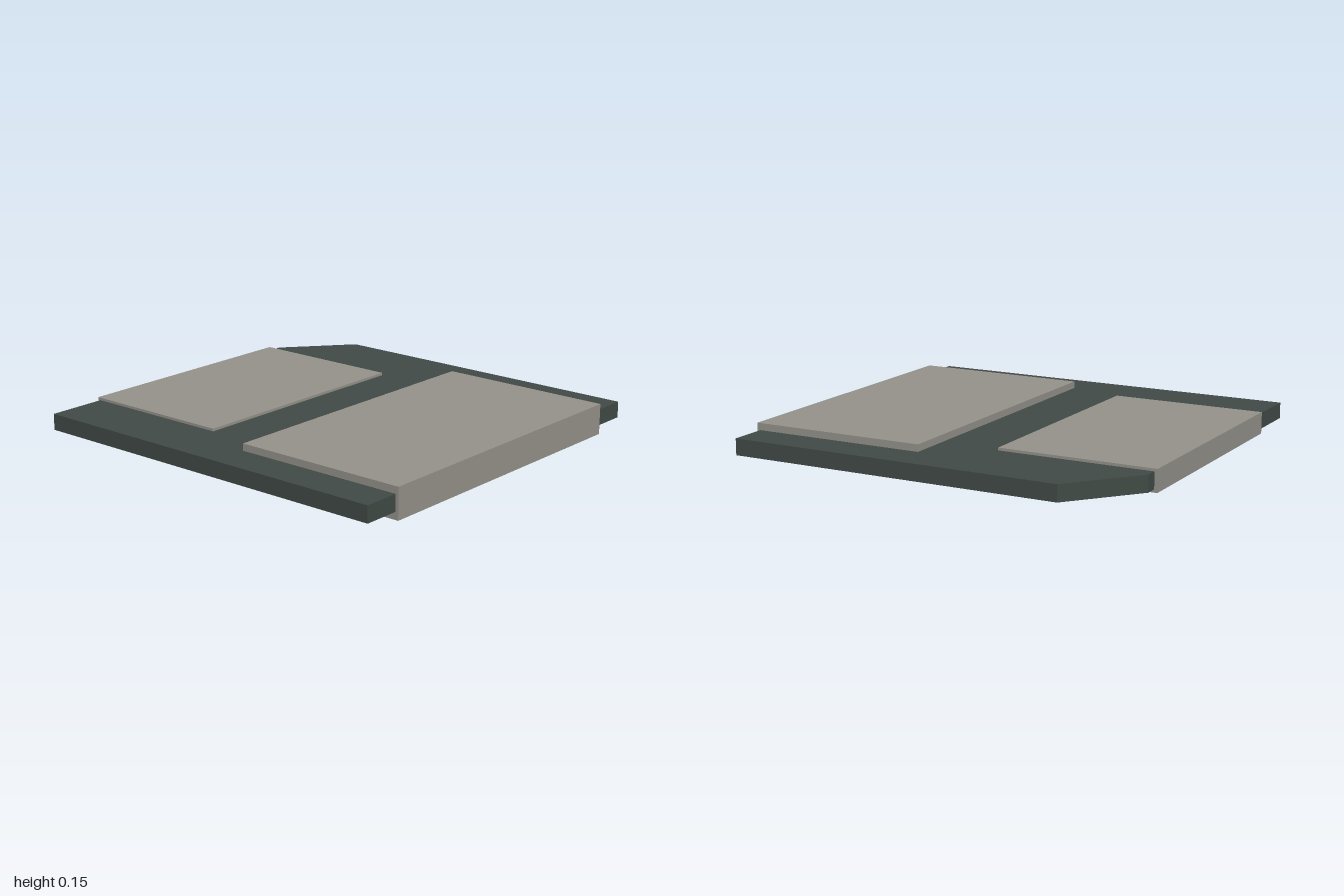
import * as THREE from 'three';

export function createModel() {
  const model = new THREE.Group();

  const casing = new THREE.MeshStandardMaterial({ color: 0x414a46 });
  casing.name = 'darkCasing';
  const plate = new THREE.MeshStandardMaterial({ color: 0x95928b });
  plate.name = 'warmGrey';

  // Flat square body with one cut corner at the back left
  const outline = new THREE.Shape([
    [-0.975, -0.985], [0.972, -0.985], [0.972, 0.71], [0.645, 0.985], [-0.975, 0.985],
  ].map(([x, y]) => new THREE.Vector2(x, y)));
  const bodyGeometry = new THREE.ExtrudeGeometry(outline, { depth: 0.081, bevelEnabled: false });
  bodyGeometry.rotateX(-Math.PI / 2).translate(0, 0.037, 0);
  const body = new THREE.Mesh(bodyGeometry, casing);
  body.name = 'diskBody';
  model.add(body);

  // Plates that wrap around the body's edge, given by their extents
  const addPlate = (name, [x0, x1], [y0, y1], [z0, z1]) => {
    const mesh = new THREE.Mesh(new THREE.BoxGeometry(x1 - x0, y1 - y0, z1 - z0), plate);
    mesh.position.set((x0 + x1) / 2, (y0 + y1) / 2, (z0 + z1) / 2);
    mesh.name = name;
    model.add(mesh);
  };
  addPlate('label', [-0.79, 0.782], [0, 0.153], [0.1, 1]);
  addPlate('shutter', [-0.673, 0.583], [0.022, 0.131], [-1, -0.205]);

  return model;
}
